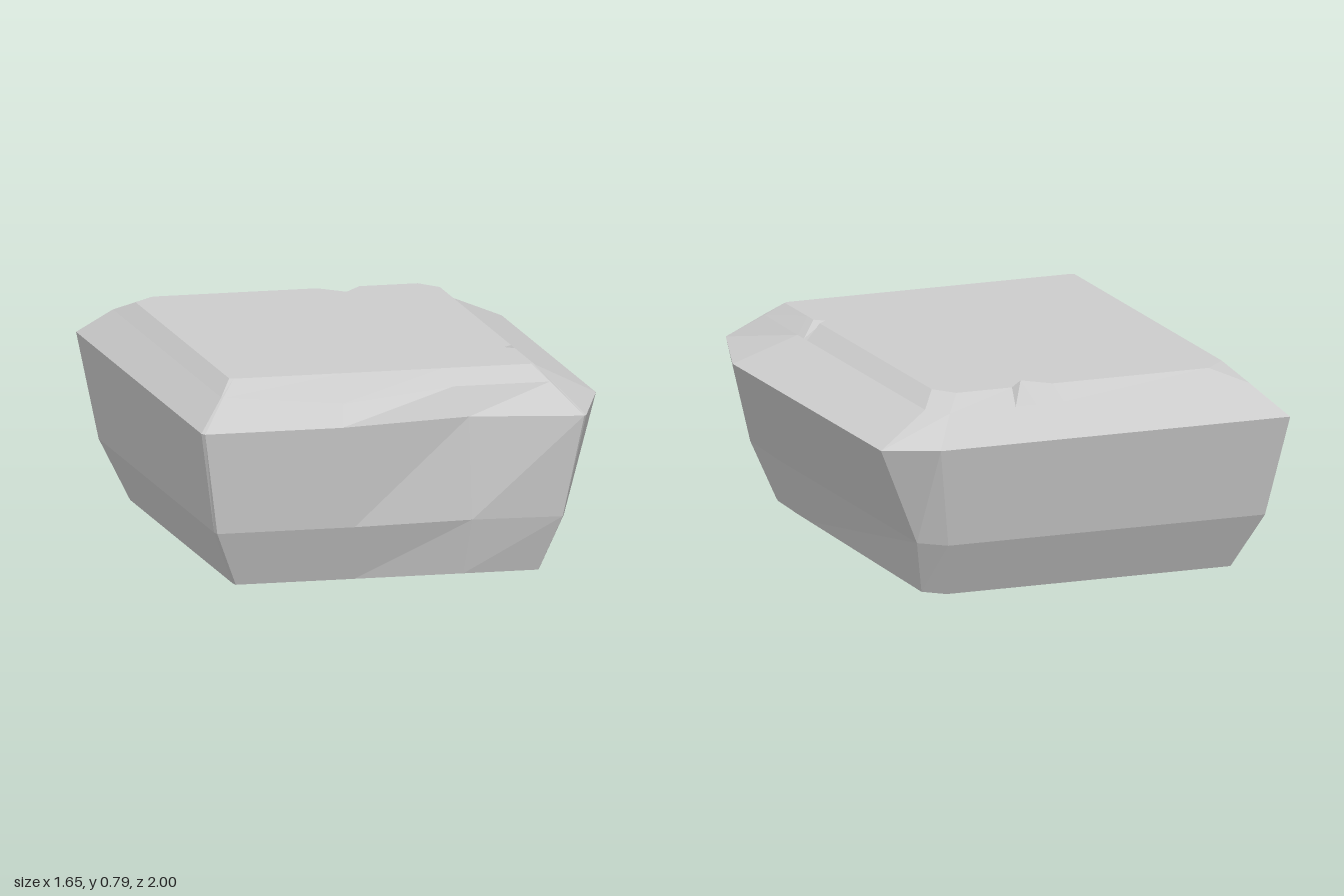
import * as THREE from 'three';

// Heights of the five horizontal cross-sections
const LEVELS = [0, 0.22, 0.62, 0.73, 0.787];

// Each ring runs front-left -> front-right -> back-right -> back-left, as [x, z]
const RINGS = [
  [[-0.665, 0.86], [-0.2, 0.86], [0.23, 0.86], [0.525, 0.86], [0.535, 0.82], [0.545, 0.6],
    [0.575, -0.72], [0.5, -0.79], [-0.67, -0.79], [-0.67, -0.79], [-0.67, 0.83]],
  [[-0.76, 0.95], [-0.22, 0.95], [0.25, 0.92], [0.6, 0.94], [0.61, 0.915], [0.625, 0.6],
    [0.635, -0.82], [0.54, -0.905], [-0.765, -0.905], [-0.765, -0.905], [-0.765, 0.92]],
  [[-0.82, 1], [-0.28, 1], [0.24, 0.91], [0.67, 1], [0.68, 0.99], [0.82, 0.58],
    [0.82, -0.91], [0.61, -1], [-0.83, -1], [-0.83, -1], [-0.83, 0.98]],
  [[-0.715, 0.86], [-0.25, 0.89], [0.19, 0.86], [0.57, 0.86], [0.58, 0.84], [0.585, 0.5],
    [0.585, -0.78], [0.52, -0.87], [-0.72, -0.86], [-0.72, -0.86], [-0.72, 0.85]],
  [[-0.655, 0.785], [-0.23, 0.785], [0.17, 0.785], [0.515, 0.785], [0.525, 0.775], [0.525, 0.55],
    [0.525, -0.7], [0.46, -0.79], [-0.58, -0.79], [-0.67, -0.7], [-0.67, 0.775]],
];

// Small chips knocked out of the top rim: edge, span along it, inward offset
const CHIPS = [
  { edge: 7, at: [0.22, 0.29, 0.38], inward: [0, 0.09] },
  { edge: 5, at: [0.05, 0.075, 0.1], inward: [-0.035, 0] },
];

function buildRing(level) {
  const points = [];
  RINGS[level].forEach(([x, z], i, ring) => {
    // The front bevel sags a little at its middle
    const y = level === 3 && i === 1 ? 0.69 : LEVELS[level];
    points.push(new THREE.Vector3(x, y, z));
    const chip = CHIPS.find((c) => c.edge === i);
    if (!chip) return;
    const [nx, nz] = ring[i + 1];
    chip.at.forEach((t, k) => {
      const push = level === 4 && k === 1 ? chip.inward : [0, 0];
      points.push(new THREE.Vector3(
        x + (nx - x) * t + push[0], LEVELS[level], z + (nz - z) * t + push[1]));
    });
  });
  return points;
}

function createRockGeometry() {
  const rings = LEVELS.map((_, level) => buildRing(level));
  const positions = [];
  const triangle = (a, b, c) => {
    if (new THREE.Triangle(a, b, c).getArea() < 1e-7) return;
    for (const p of [a, b, c]) positions.push(p.x, p.y, p.z);
  };

  // Faceted sides between neighbouring rings
  for (let r = 0; r < rings.length - 1; r++) {
    const low = rings[r], high = rings[r + 1], n = low.length;
    for (let i = 0; i < n; i++) {
      const j = (i + 1) % n;
      triangle(low[i], low[j], high[j]);
      triangle(low[i], high[j], high[i]);
    }
  }

  // Flat top and underside
  const cap = (ring, up) => {
    const outline = ring.map((p) => new THREE.Vector2(p.x, -p.z));
    for (const [a, b, c] of THREE.ShapeUtils.triangulateShape(outline, [])) {
      const area = THREE.ShapeUtils.area([outline[a], outline[b], outline[c]]);
      if ((area > 0) === up) triangle(ring[a], ring[b], ring[c]);
      else triangle(ring[a], ring[c], ring[b]);
    }
  };
  cap(rings[4], true);
  cap(rings[0].filter((p, i, all) => !i || !p.equals(all[i - 1])), false);

  const geometry = new THREE.BufferGeometry();
  geometry.setAttribute('position', new THREE.Float32BufferAttribute(positions, 3));
  geometry.computeVertexNormals();
  return geometry;
}

export function createModel() {
  const group = new THREE.Group();
  group.name = 'rock';
  const material = new THREE.MeshStandardMaterial({ color: 0xcccccc, flatShading: true });
  const stone = new THREE.Mesh(createRockGeometry(), material);
  stone.name = 'stoneBlock';
  group.add(stone);
  return group;
}
